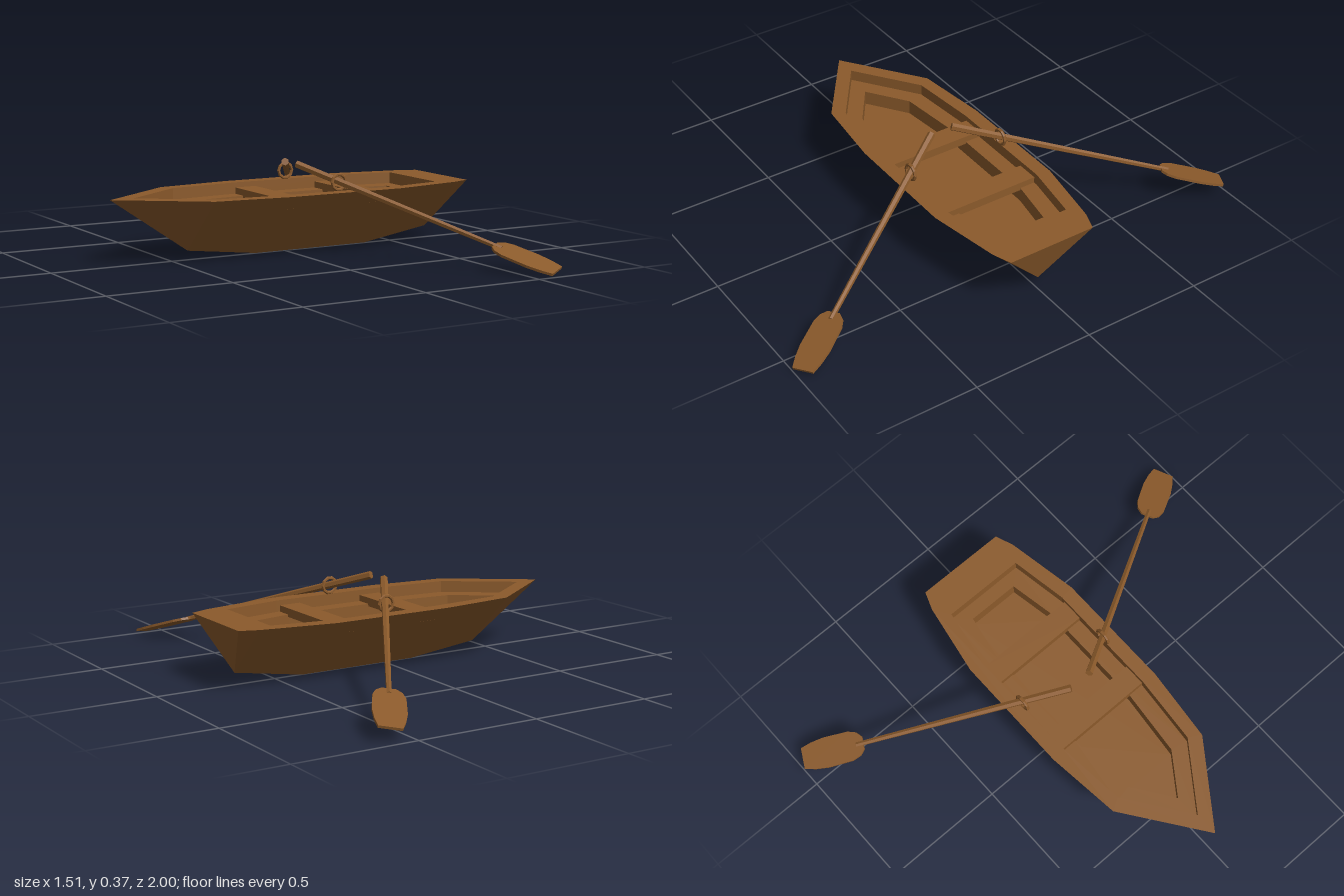
import * as THREE from 'three';

const wood = new THREE.MeshStandardMaterial({ color: 0x8b5a2b, flatShading: true, side: THREE.DoubleSide });

const RIM = 0.256, LEDGE = 0.21, FLOOR = 0.15;

// Half outlines from bow to stern as [x, half width]
const gunwale = [[-0.755, 0], [-0.43, 0.234], [-0.12, 0.268], [0.38, 0.268], [0.68, 0.215], [0.755, 0.187]];
const wellEdge = [[-0.657, 0], [-0.4, 0.184], [-0.112, 0.21], [0.373, 0.21], [0.612, 0.17]];
const floorEdge = [[-0.548, 0], [-0.385, 0.115], [-0.11, 0.144], [0.357, 0.144], [0.556, 0.108]];
// Keel as [x, y], one point under each gunwale point
const keel = [[-0.755, RIM], [-0.43, 0.035], [-0.13, 0], [0.38, 0], [0.676, 0.048], [0.676, 0.048]];

// Full closed outline from one half
function mirrored(half) {
  const other = half.slice(1).reverse().map(([x, z]) => [x, -z]);
  return [...half, ...other];
}

function add(parent, name, geometry) {
  const mesh = new THREE.Mesh(geometry, wood);
  mesh.name = name;
  parent.add(mesh);
  return mesh;
}

function fromTriangles(points) {
  const geometry = new THREE.BufferGeometry();
  geometry.setAttribute('position', new THREE.Float32BufferAttribute(points.flat(), 3));
  geometry.computeVertexNormals();
  return geometry;
}

// Horizontal sheet, optionally with an opening
function sheet(half, y, hole) {
  const toPoints = h => mirrored(h).map(([x, z]) => new THREE.Vector2(x, z));
  const shape = new THREE.Shape(toPoints(half));
  if (hole) shape.holes.push(new THREE.Path(toPoints(hole)));
  return new THREE.ShapeGeometry(shape).rotateX(-Math.PI / 2).translate(0, y, 0);
}

// Upright inner wall facing the middle of the boat
function wall(half, top, bottom) {
  const loop = mirrored(half), tris = [];
  loop.forEach(([x, z], i) => {
    const [x2, z2] = loop[(i + 1) % loop.length];
    const a = [x, top, z], b = [x2, top, z2], c = [x2, bottom, z2], d = [x, bottom, z];
    tris.push(a, b, c, a, c, d);
  });
  return fromTriangles(tris);
}

// V-shaped outer skin and sloping transom
function hullSkin() {
  const tris = [];
  for (const s of [1, -1]) {
    const put = (a, b, c) => (s > 0 ? tris.push(a, b, c) : tris.push(a, c, b));
    const top = i => [gunwale[i][0], RIM, s * gunwale[i][1]];
    const low = i => [...keel[i], 0];
    for (let i = 0; i < gunwale.length - 1; i++) {
      if (i > 0) put(top(i), low(i), low(i + 1));
      if (i === 0) put(top(0), low(1), top(1));
      else put(top(i), low(i + 1), top(i + 1));
    }
  }
  const n = gunwale.length - 1, [x, z] = gunwale[n];
  tris.push([x, RIM, z], [...keel[n], 0], [x, RIM, -z]);
  return fromTriangles(tris);
}

// Oar built along +y, then turned so the blade holds the x direction
function makeOar(start, neck) {
  const oar = new THREE.Group();
  const along = neck.clone().sub(start);
  const length = along.length();
  along.normalize();
  const across = new THREE.Vector3(1, 0, 0).addScaledVector(along, -along.x).normalize();
  const normal = new THREE.Vector3().crossVectors(across, along);

  const shaft = new THREE.CylinderGeometry(0.01, 0.016, length + 0.03, 6);
  add(oar, 'shaft', shaft.translate(0, (length + 0.03) / 2, 0));

  const side = [[0.026, 0], [0.048, 0.02], [0.06, 0.055], [0.062, 0.16], [0.055, 0.215], [0.043, 0.26]];
  const outline = [...side, ...side.slice().reverse().map(([x, y]) => [-x, y])];
  const shape = new THREE.Shape(outline.map(([x, y]) => new THREE.Vector2(x, y)));
  const blade = new THREE.ExtrudeGeometry(shape, { depth: 0.01, bevelEnabled: false });
  add(oar, 'blade', blade.translate(0, length, -0.005));

  oar.quaternion.setFromRotationMatrix(new THREE.Matrix4().makeBasis(across, along, normal));
  oar.position.copy(start);
  return oar;
}

export function createModel() {
  const model = new THREE.Group();
  model.name = 'rowingBoat';

  const boat = new THREE.Group();
  boat.name = 'boat';
  boat.position.z = -0.004;
  model.add(boat);
  add(boat, 'hull', hullSkin());
  add(boat, 'rim', sheet(gunwale, RIM, wellEdge));
  add(boat, 'upperWall', wall(wellEdge, RIM, LEDGE));
  add(boat, 'ledge', sheet(wellEdge, LEDGE, floorEdge));
  add(boat, 'lowerWall', wall(floorEdge, LEDGE, FLOOR));
  add(boat, 'floor', sheet(floorEdge, FLOOR));

  // Two cross benches resting on the ledge
  for (const x of [-0.061, 0.312]) {
    add(boat, 'bench', new THREE.BoxGeometry(0.092, 0.035, 0.42)).position.set(x, 0.218, 0);
  }

  // Ring oarlocks on both rims
  for (const s of [1, -1]) {
    const ring = new THREE.TorusGeometry(0.031, 0.007, 6, 10);
    add(boat, 'oarlock', ring).position.set(0.127, 0.291, s * 0.211);
  }

  // Oars, the right-hand one resting a little higher
  const oars = [['frontOar', 1, 0.093], ['backOar', -1, 0.122]];
  for (const [name, s, neckY] of oars) {
    const oar = makeOar(new THREE.Vector3(0.03, 0.35, s * 0.047), new THREE.Vector3(0.47, neckY, s * 0.765));
    oar.name = name;
    model.add(oar);
  }
  return model;
}
